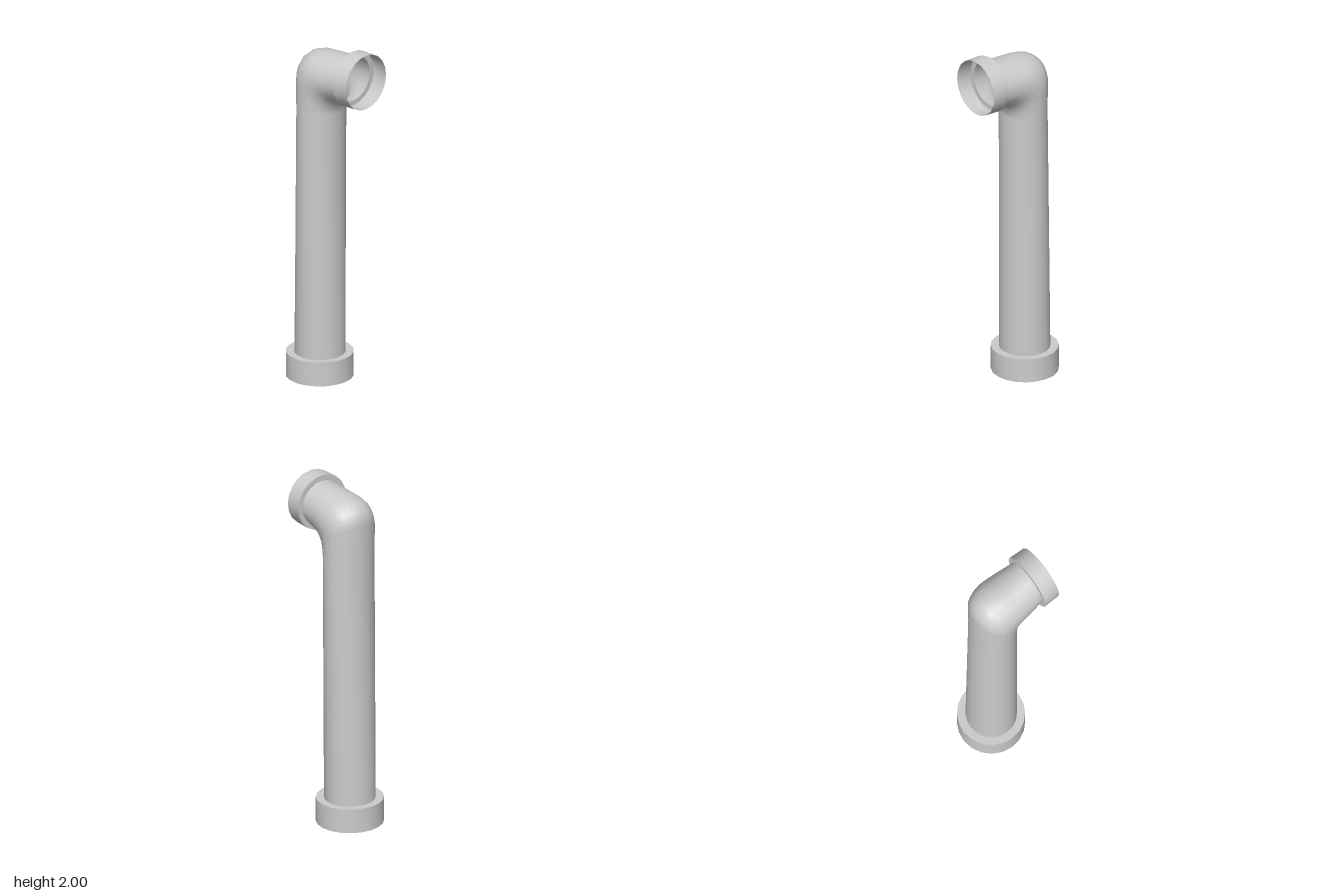
import * as THREE from 'three';

const SIDES = 20;
const material = new THREE.MeshStandardMaterial({ color: 0xcccccc, side: THREE.DoubleSide });

// Open skin through elliptical rings, each given as
// [outer x, outer y, inner x, inner y, half width in z]
function skin(name, rings) {
  const positions = [], index = [];
  rings.forEach(([ox, oy, ix, iy, hz], s) => {
    for (let k = 0; k < SIDES; k++) {
      const t = (k / SIDES) * Math.PI * 2, c = Math.cos(t) / 2;
      positions.push((ox + ix) / 2 + (ox - ix) * c, (oy + iy) / 2 + (oy - iy) * c, hz * Math.sin(t));
      if (s === rings.length - 1) continue;
      const a = s * SIDES + k, b = s * SIDES + (k + 1) % SIDES;
      index.push(a, b, a + SIDES, b, b + SIDES, a + SIDES);
    }
  });
  const geometry = new THREE.BufferGeometry();
  geometry.setAttribute('position', new THREE.Float32BufferAttribute(positions, 3));
  geometry.setIndex(index);
  geometry.computeVertexNormals();
  const mesh = new THREE.Mesh(geometry, material);
  mesh.name = name;
  return mesh;
}

// Socket: a thin sleeve joined to the pipe by a flat step, kept separate for a sharp edge
function socket(name, rings) {
  const group = new THREE.Group();
  group.name = name;
  for (let i = 0; i < rings.length - 1; i++) {
    group.add(skin(`${name}Wall${i + 1}`, [rings[i], rings[i + 1]]));
  }
  return group;
}

export function createModel() {
  const model = new THREE.Group();
  model.name = 'elbowPipe';

  // Pipe: tapered upright, bend, and short horizontal outlet
  const pipe = [
    [-0.222, 0.14, 0.062, 0.14, 0.145],
    [-0.195, 1.60, 0.056, 1.60, 0.154],
    [-0.195, 1.82, 0.060, 1.62, 0.158],
    [-0.185, 1.865, 0.068, 1.645, 0.158],
    [-0.164, 1.90, 0.082, 1.667, 0.158],
    [-0.127, 1.931, 0.100, 1.683, 0.157],
    [-0.074, 1.948, 0.125, 1.692, 0.154],
    [-0.01, 1.953, 0.14, 1.697, 0.150],
    [0.172, 1.967, 0.172, 1.703, 0.137],
  ];
  model.add(skin('pipe', pipe));

  // Base socket
  model.add(socket('baseSocket', [
    [-0.27, 0, 0.108, 0, 0.191],
    [-0.27, 0.142, 0.108, 0.142, 0.191],
    [-0.222, 0.14, 0.062, 0.14, 0.145],
  ]));

  // Outlet socket
  model.add(socket('outletSocket', [
    [0.172, 1.967, 0.172, 1.703, 0.137],
    [0.172, 2.0, 0.172, 1.675, 0.168],
    [0.27, 2.0, 0.27, 1.677, 0.164],
  ]));

  return model;
}
